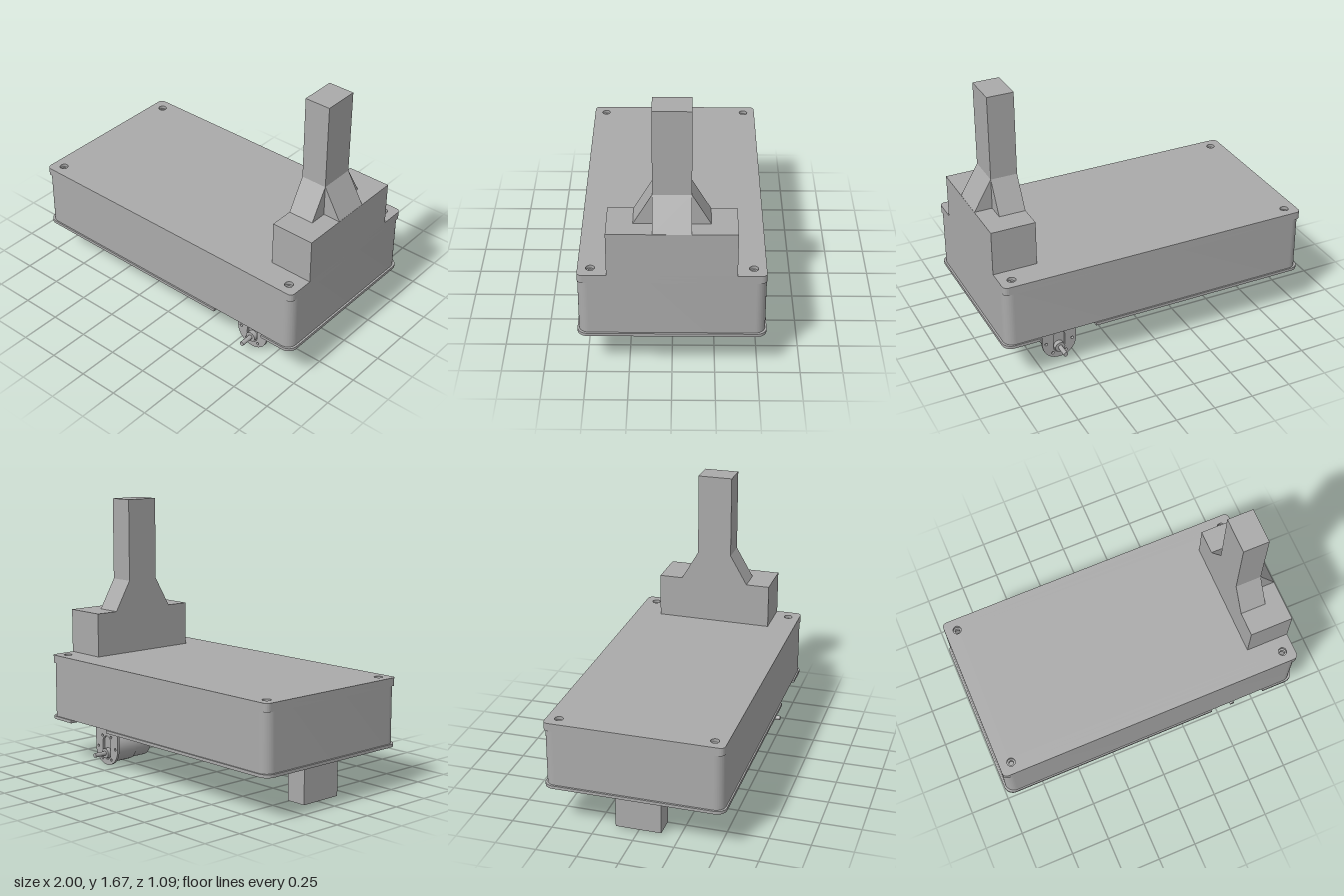
import * as THREE from 'three';
import { toCreasedNormals } from 'three/addons/utils/BufferGeometryUtils.js';

const grey = new THREE.MeshStandardMaterial({ color: 0xaaaaaa });
grey.name = 'plain grey';

function add(parent, name, geometry) {
  const mesh = new THREE.Mesh(geometry, grey);
  mesh.name = name;
  parent.add(mesh);
  return mesh;
}

function box(parent, name, x0, x1, y0, y1, z0, z1) {
  const g = new THREE.BoxGeometry(x1 - x0, y1 - y0, z1 - z0);
  g.translate((x0 + x1) / 2, (y0 + y1) / 2, (z0 + z1) / 2);
  return add(parent, name, g);
}

// Rounded rectangle centred on the origin; half sizes w, h
function roundRect(w, h, r, Kind = THREE.Shape) {
  const s = new Kind();
  s.absarc(w - r, h - r, r, 0, Math.PI / 2);
  s.absarc(-w + r, h - r, r, Math.PI / 2, Math.PI);
  s.absarc(-w + r, -h + r, r, Math.PI, Math.PI * 1.5);
  s.absarc(w - r, -h + r, r, Math.PI * 1.5, Math.PI * 2);
  s.closePath();
  return s;
}

function circle(x, y, r) {
  return new THREE.Path().absarc(x, y, r, 0, Math.PI * 2, true);
}

function extrude(shape, depth) {
  return toCreasedNormals(new THREE.ExtrudeGeometry(shape, { depth, bevelEnabled: false, curveSegments: 10 }), 0.6);
}

// Horizontal slab from a plan shape
function slab(parent, name, shape, y0, y1) {
  const g = extrude(shape, y1 - y0);
  g.rotateX(-Math.PI / 2);
  g.translate(0, y0, 0);
  return add(parent, name, g);
}

// Cylinder along z
function rod(parent, name, r, z0, z1, y, sides = 32, x = 0) {
  const g = new THREE.CylinderGeometry(r, r, z1 - z0, sides);
  g.rotateX(Math.PI / 2);
  g.translate(x, y, (z0 + z1) / 2);
  return add(parent, name, g);
}

// Motor with its bent bracket, shaft pointing to +z
function makeMotor(name) {
  const motor = new THREE.Group();
  motor.name = name;

  // Bracket face: rounded bottom, shaft slot and six screw holes
  const face = new THREE.Shape();
  face.moveTo(0.11, 0.225);
  face.lineTo(-0.11, 0.225);
  face.lineTo(-0.11, 0.11);
  face.absarc(0, 0.11, 0.11, Math.PI, Math.PI * 2);
  face.closePath();
  const slot = new THREE.Path();
  slot.absarc(0, 0.15, 0.038, 0, Math.PI);
  slot.absarc(0, 0.075, 0.038, Math.PI, Math.PI * 2);
  slot.closePath();
  face.holes.push(slot);
  for (const s of [-1, 1]) {
    for (const [x, y] of [[0.085, 0.112], [0.043, 0.186], [0.043, 0.038]]) face.holes.push(circle(s * x, y, 0.009));
  }
  const plate = extrude(face, 0.015);
  plate.translate(0, 0, 0.387);
  add(motor, 'bracketFace', plate);

  // Bend and mounting flange, swept across x
  const bend = new THREE.Shape();
  bend.moveTo(0.402, 0.225);
  bend.absarc(0.365, 0.225, 0.037, 0, Math.PI / 2);
  bend.lineTo(0.165, 0.262);
  bend.lineTo(0.165, 0.247);
  bend.lineTo(0.365, 0.247);
  bend.absarc(0.365, 0.225, 0.022, Math.PI / 2, 0, true);
  bend.closePath();
  const flange = extrude(bend, 0.22);
  flange.rotateY(-Math.PI / 2);
  flange.translate(0.11, 0, 0);
  add(motor, 'bracketFlange', flange);

  // Motor can, gearbox and shaft
  rod(motor, 'motorCan', 0.092, 0.12, 0.24, 0.113);
  rod(motor, 'gearbox', 0.098, 0.24, 0.387, 0.113);
  rod(motor, 'rearBearing', 0.03, 0.112, 0.12, 0.113, 24);
  for (const s of [-1, 1]) box(motor, 'terminal', s * 0.06 - 0.012, s * 0.06 + 0.012, 0.098, 0.128, 0.1, 0.12);
  rod(motor, 'shaftBoss', 0.032, 0.387, 0.417, 0.077, 24);
  rod(motor, 'shaft', 0.014, 0.417, 0.5, 0.077, 20);
  motor.position.x = 0.6;
  return motor;
}

export function createModel() {
  const model = new THREE.Group();
  model.name = 'wheeledBase';

  // Hollow enclosure walls
  const walls = roundRect(0.988, 0.538, 0.06);
  walls.holes.push(roundRect(0.958, 0.508, 0.03, THREE.Path));
  slab(model, 'enclosureWalls', walls, 0.28, 0.63);

  // Lid in two layers, giving stepped screw holes
  for (const [name, r, y0, y1] of [['lidLower', 0.015, 0.63, 0.66], ['lidUpper', 0.026, 0.66, 0.68]]) {
    const lid = roundRect(0.988, 0.538, 0.03);
    for (const x of [-0.912, 0.912]) for (const z of [-0.464, 0.464]) lid.holes.push(circle(x, z, r));
    slab(model, name, lid, y0, y1);
  }

  // Floor plate with two wheel cutouts
  const r = 0.06, w = 1, d = 0.547, cut = 0.42;
  const floor = new THREE.Shape();
  floor.absarc(w - r, d - r, r, 0, Math.PI / 2);
  for (const [x, z] of [[0.78, d], [0.78, cut], [0.42, cut], [0.42, d]]) floor.lineTo(x, z);
  floor.absarc(-w + r, d - r, r, Math.PI / 2, Math.PI);
  floor.absarc(-w + r, -d + r, r, Math.PI, Math.PI * 1.5);
  for (const [x, z] of [[0.42, -d], [0.42, -cut], [0.78, -cut], [0.78, -d]]) floor.lineTo(x, z);
  floor.absarc(w - r, -d + r, r, Math.PI * 1.5, Math.PI * 2);
  floor.closePath();
  slab(model, 'floorPlate', floor, 0.262, 0.281);

  // Support block under the far end
  box(model, 'supportBlock', -0.893, -0.763, 0.01, 0.262, -0.14, 0.14);

  // Tower: wide foot, mast and three gussets
  box(model, 'towerFoot', 0.714, 0.988, 0.68, 0.958, -0.37, 0.37);
  box(model, 'mast', 0.714, 0.877, 0.958, 1.67, -0.11, 0.11);
  const wedge = new THREE.Shape([[0, 0], [0.11, 0], [0, 0.19]].map(([x, y]) => new THREE.Vector2(x, y)));
  const side = extrude(wedge, 0.22);
  side.translate(0.877, 0.958, -0.11);
  add(model, 'endGusset', side);
  for (const s of [-1, 1]) {
    const g = extrude(wedge, 0.163);
    g.translate(0, 0, -0.0815);
    g.rotateY(-s * Math.PI / 2);
    g.translate(0.7955, 0.958, s * 0.11);
    add(model, 'sideGusset', g);
  }

  // Drive motors, one facing each side
  const front = makeMotor('frontMotor');
  const back = makeMotor('backMotor');
  back.rotation.y = Math.PI;
  model.add(front, back);

  return model;
}
